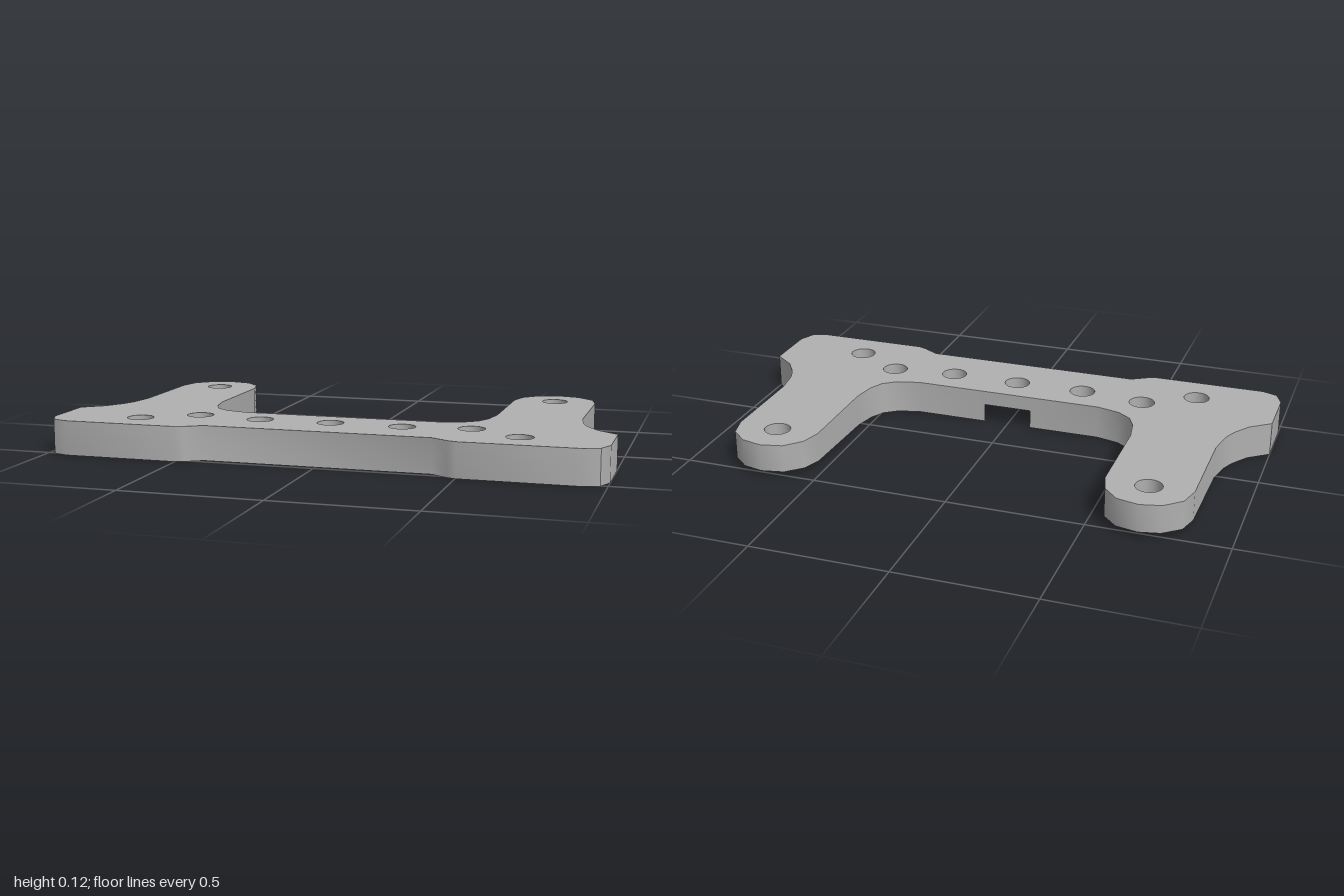
import * as THREE from 'three';
import { mergeGeometries, toCreasedNormals } from 'three/addons/utils/BufferGeometryUtils.js';

const TOP = 0.125, POCKET_Y = 0.07, RECESS_Y = 0.04, TAPER_Z = 0.1;
const HOLE_R = 0.048, POCKET_R = 0.153, POCKET_Z = 0.3, BACK_Z = 0.177;

// Underside height: flat in front, rising gently along the arms
const under = (z) => Math.max(0, (TAPER_Z - z) * 0.035);
const level = (y) => () => y;

// Points on a circle, ordered so that walls built on them face inwards
function arc(x, z, r, from = 0, to = Math.PI * 2, n = 24) {
  return Array.from({ length: n }, (_, i) => {
    const t = from + ((to - from) * i) / n;
    return [x + r * Math.cos(t), z - r * Math.sin(t)];
  });
}

// Upright wall around a closed loop of [x, z] points
function wall(points, low, high) {
  const pos = [];
  points.forEach(([ax, az], i) => {
    const [bx, bz] = points[(i + 1) % points.length];
    const a0 = [ax, low(az), az], a1 = [ax, high(az), az];
    const b0 = [bx, low(bz), bz], b1 = [bx, high(bz), bz];
    pos.push(...a0, ...a1, ...b1, ...a0, ...b1, ...b0);
  });
  const g = new THREE.BufferGeometry();
  g.setAttribute('position', new THREE.Float32BufferAttribute(pos, 3));
  return g;
}

// Horizontal or tapered face with holes, looking up or down
function cap(points, holes, height, up) {
  const s = up ? -1 : 1;
  const vectors = (list) => list.map(([x, z]) => new THREE.Vector2(x, s * z));
  const shape = new THREE.Shape(vectors(points));
  shape.holes = holes.map((h) => new THREE.Path(vectors(h)));
  const g = new THREE.ShapeGeometry(shape).rotateX((s * Math.PI) / 2).toNonIndexed();
  g.deleteAttribute('uv');
  g.deleteAttribute('normal');
  const p = g.attributes.position;
  for (let i = 0; i < p.count; i++) p.setY(i, height(p.getZ(i)));
  return g;
}

export function createModel() {
  const group = new THREE.Group();
  const grey = new THREE.MeshStandardMaterial({ color: 0xb0b0b0 });
  grey.name = 'grey';
  const add = (name, parts) => {
    const mesh = new THREE.Mesh(toCreasedNormals(mergeGeometries(parts), 0.62), grey);
    mesh.name = name;
    group.add(mesh);
  };

  // Left half of the outline, from the back of the bridge round to the front
  const chord = Math.sqrt(POCKET_R ** 2 - (POCKET_Z - BACK_Z) ** 2);
  const half = [
    [chord, BACK_Z], [0.36, BACK_Z], [0.445, 0.155], [0.495, 0.118], [0.503, TAPER_Z],
    [0.52, 0.065], [0.535, -0.025], [0.535, -0.38], [0.555, -0.455], [0.61, -0.513],
    [0.69, -0.531], [0.765, -0.513], [0.825, -0.46], [0.845, -0.38], [0.845, -0.025],
    [0.86, 0.065], [0.873, TAPER_Z], [0.885, 0.125], [0.925, 0.185], [1, 0.243],
    [1, 0.445], [0.975, 0.505], [0.92, 0.526], [0.5, 0.526], [0.47, 0.515], [0.41, 0.479],
  ];
  const mirror = (list) => list.map(([x, z]) => [-x, z]).reverse();
  const outline = [...half, ...mirror(half)];

  // Round pocket under the bridge that breaks through the back edge
  const open = Math.asin((POCKET_Z - BACK_Z) / POCKET_R);
  const pocket = arc(0, POCKET_Z, POCKET_R, Math.PI - open, Math.PI * 2 + open);
  const lower = [...outline.slice(0, -1), ...pocket];

  // Bolt holes: r and y give the wider recess underneath, where there is one
  const holes = [{ x: 0, z: POCKET_Z, y: POCKET_Y }];
  for (const s of [1, -1]) {
    holes.push(
      { x: s * 0.69, z: -0.39, r: 0.086, y: 0.045 },
      { x: s * 0.69, z: 0.385, r: 0.086, y: RECESS_Y - 0.015 },
      { x: s * 0.503, z: 0.275, r: HOLE_R },
      { x: s * 0.262, z: 0.303, r: 0.08, y: POCKET_Y },
    );
  }
  for (const h of holes) {
    h.bore = arc(h.x, h.z, HOLE_R);
    if (h.r) h.mouth = arc(h.x, h.z, h.r);
  }

  add('topFace', [cap(outline, holes.map((h) => h.bore), level(TOP), true)]);
  add('outerWall', [
    wall(outline, level(POCKET_Y), level(TOP)),
    wall(lower, under, level(POCKET_Y)),
  ]);

  // Underside: flat bridge and two tapered arms
  const flat = lower.filter(([, z]) => z >= TAPER_Z);
  const mouths = (test) => holes.filter((h) => h.mouth && test(h)).map((h) => h.mouth);
  const arm = half.filter(([, z]) => z <= TAPER_Z);
  add('underside', [
    cap(flat, mouths((h) => h.z > 0), under, false),
    cap(arm, mouths((h) => h.z < 0 && h.x > 0), under, false),
    cap(mirror(arm), mouths((h) => h.z < 0 && h.x < 0), under, false),
  ]);
  add('pocketCeiling', [cap([...pocket, [chord, BACK_Z]], [holes[0].bore], level(POCKET_Y), false)]);

  // Hole walls and recess ceilings
  for (const h of holes) {
    const parts = [wall(h.bore, h.y ? level(h.y) : under, level(TOP))];
    if (h.y && h.mouth) {
      parts.push(wall(h.mouth, under, level(h.y)), cap(h.mouth, [h.bore], level(h.y), false));
    }
    add('boltHole', parts);
  }
  return group;
}
